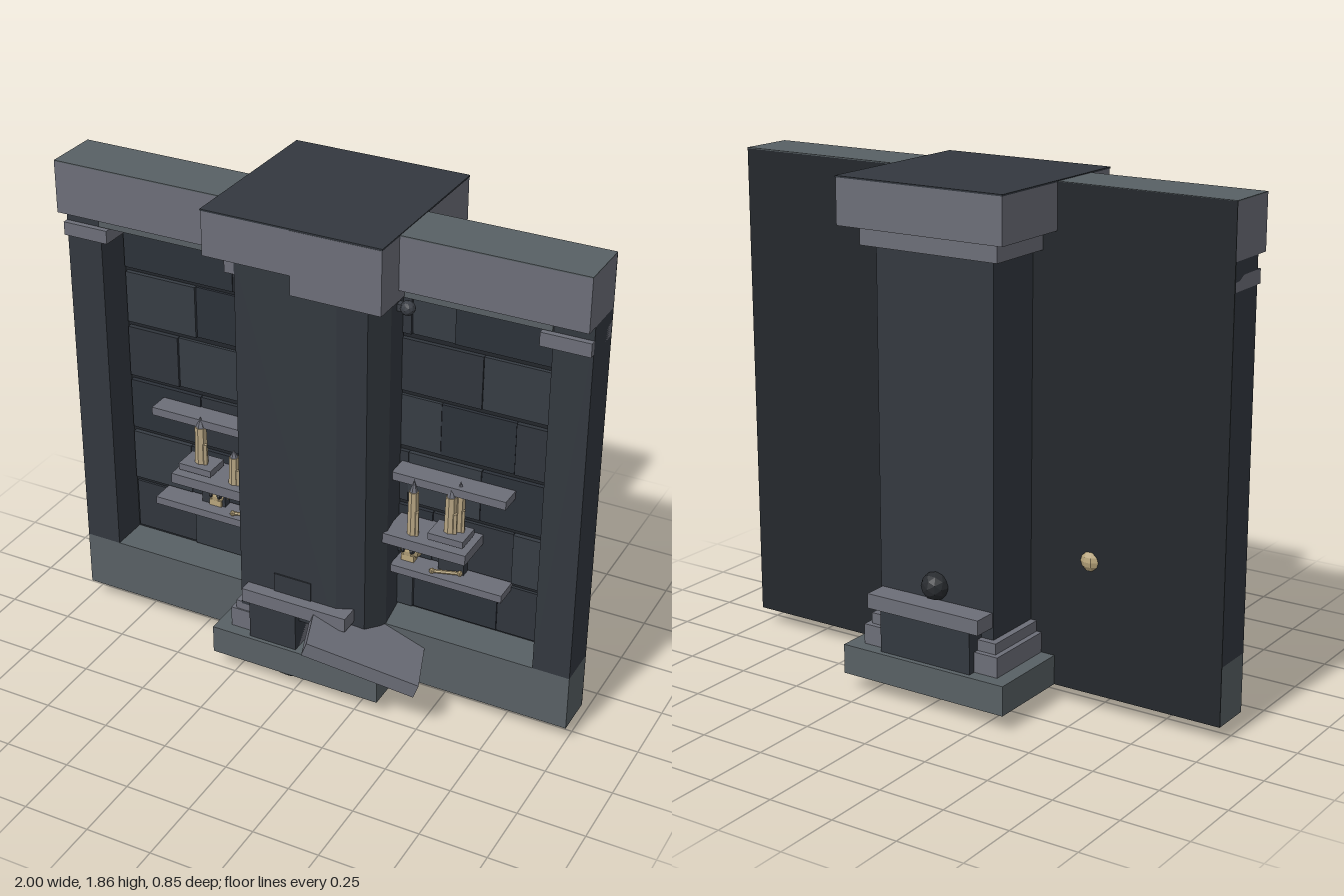
import * as THREE from 'three';

const mat = (color) => new THREE.MeshStandardMaterial({ color, flatShading: true });
const STONE = mat(0x6c6e78), BASE = mat(0x586064), DARK = mat(0x33383f), BACK = mat(0x24282c);
const MORTAR = mat(0x22262b), WAX = mat(0xb8a684), BONE = mat(0xb8a57c), RUBBLE = mat(0x282b2f);
const METAL = mat(0x3b3f46), PURPLE = mat(0x4b3566);
const BRICKS = [mat(0x30353c), mat(0x363c43), mat(0x2c3139)];

let seed = 7;
const rand = () => (seed = (seed * 16807) % 2147483647) / 2147483647;

export function createModel() {
  const model = new THREE.Group();

  const add = (name, geometry, material, x = 0, y = 0, z = 0, parent = model) => {
    const mesh = new THREE.Mesh(geometry, material);
    mesh.name = name;
    mesh.position.set(x, y, z);
    parent.add(mesh);
    return mesh;
  };
  // Box given by its minimum and maximum on each axis
  const box = (name, material, x0, x1, y0, y1, z0, z1, parent = model) =>
    add(name, new THREE.BoxGeometry(x1 - x0, y1 - y0, z1 - z0), material,
      (x0 + x1) / 2, (y0 + y1) / 2, (z0 + z1) / 2, parent);

  // Wall frame
  box('backPanel', BACK, -1, 1, 0.06, 1.855, -0.087, -0.08);
  box('wallBase', BASE, -1, 1, 0.06, 0.278, -0.083, 0.07);
  box('cornice', STONE, -1, 1, 1.66, 1.853, -0.084, 0.125);
  box('corniceTop', BASE, -1, 1, 1.853, 1.857, -0.087, 0.125);
  box('corniceTrim', BASE, -0.86, 0.86, 1.615, 1.66, -0.08, 0.08);
  for (const s of [-1, 1]) {
    const pillar = box('wallPillar', DARK, -0.07, 0.07, 0.278, 1.66, -0.083, 0.07);
    pillar.position.x = s * 0.93;
    const cap = box('pillarCap', STONE, -0.089, 0.089, 1.56, 1.61, -0.08, 0.092);
    cap.position.x = s * 0.911;
  }

  // Stone courses with joints, between the pillars
  const wall = new THREE.Group();
  wall.name = 'brickWall';
  model.add(wall);
  box('mortar', MORTAR, -0.86, 0.86, 0.278, 1.62, -0.081, -0.077, wall);
  const joints = [[-0.59, 0.33, 0.66], [-0.6, 0.4, 0.71], [-0.55, 0.3, 0.58],
    [-0.64, 0.42, 0.7], [-0.56, -0.27, 0.57], [-0.4, 0.3, 0.46]];
  joints.forEach((row, i) => {
    const y = 0.29 + i * 0.223;
    const ends = [-0.852, ...row, 0.852];
    for (let k = 0; k + 1 < ends.length; k++)
      box('brick', BRICKS[(k + i) % 3], ends[k] + 0.001, ends[k + 1] - 0.001,
        y, y + (i === 5 ? 0.19 : 0.202), -0.08, -0.068 + rand() * 0.012, wall);
  });

  // Central column: faceted front corner, square back
  const plan = [[-0.24, 0.203], [0.15, 0.205], [0.245, 0.165], [0.285, 0.07],
    [0.265, -0.07], [0.24, -0.085], [0.24, -0.325], [-0.24, -0.325]];
  const shape = new THREE.Shape(plan.map(([x, z]) => new THREE.Vector2(x, -z)));
  const shaft = new THREE.ExtrudeGeometry(shape, { depth: 1.41, bevelEnabled: false });
  shaft.rotateX(-Math.PI / 2);
  add('columnShaft', shaft, DARK, 0, 0.28, 0);
  box('columnSeam', PURPLE, -0.246, -0.24, 0.5, 1.6, -0.07, 0.1);

  // Capital
  box('capital', STONE, -0.335, 0.335, 1.69, 1.854, -0.42, 0.25);
  box('capitalTop', DARK, -0.337, 0.337, 1.854, 1.86, -0.422, 0.252);
  box('capitalFrontBlock', STONE, 0, 0.336, 1.62, 1.854, 0.06, 0.253);
  box('capitalTier', STONE, -0.28, 0.28, 1.62, 1.69, -0.365, 0.2);

  // Plinth, its tiers and the small monuments at its front and back
  box('plinth', BASE, -0.34, 0.34, 0.06, 0.17, -0.42, 0.25);
  box('plinthBackTier', STONE, -0.285, 0.285, 0.17, 0.245, -0.37, -0.08);
  box('plinthBackUpperTier', STONE, -0.265, 0.265, 0.245, 0.285, -0.35, -0.08);
  box('plinthFrontTier', STONE, -0.285, 0, 0.17, 0.25, 0, 0.205);
  box('plinthFrontUpperTier', STONE, -0.265, 0, 0.25, 0.285, 0, 0.2);
  box('frontBlock', DARK, -0.19, 0, 0.17, 0.33, 0.1, 0.235);
  box('frontLedge', STONE, -0.21, 0.21, 0.33, 0.385, 0.1, 0.252);
  box('frontPlaque', DARK, -0.1, 0.05, 0.385, 0.46, 0.15, 0.209);
  box('backBlock', DARK, -0.19, 0.19, 0.17, 0.33, -0.4, -0.3);
  box('backLedge', STONE, -0.235, 0.235, 0.33, 0.385, -0.415, -0.3);
  add('stoneBall', new THREE.IcosahedronGeometry(0.052, 1), RUBBLE, 0, 0.437, -0.33);

  // Fallen slab leaning on the plinth
  const slab = add('fallenSlab', new THREE.BoxGeometry(0.425, 0.055, 0.69), STONE, 0.205, 0.267, 0.03);
  slab.rotation.set(0, 0.35, -0.35, 'YZX');

  // Rubble beneath the plinth
  const rubble = new THREE.Group();
  rubble.name = 'rubble';
  model.add(rubble);
  for (let i = 0; i < 44; i++) {
    const r = 0.025 + rand() * 0.03;
    const rock = add('rock', new THREE.DodecahedronGeometry(r), RUBBLE,
      -0.14 + rand() * 0.36, 0.056, 0.21 - rand() * 0.54, rubble);
    rock.scale.y = 0.45;
    rock.rotation.y = rand() * 6;
  }
  const chunk = add('brokenChunk', new THREE.BoxGeometry(0.2, 0.04, 0.22), RUBBLE, -0.09, 0.037, -0.2, rubble);
  chunk.rotation.set(0.12, 0, -0.06);

  // Shelves and brackets, mirrored on both sides
  for (const s of [-1, 1]) {
    const shelves = new THREE.Group();
    shelves.name = s < 0 ? 'rightShelves' : 'leftShelves';
    model.add(shelves);
    const inner = s < 0 ? 0.235 : 0.275;
    const span = (name, material, a, b, ...rest) =>
      box(name, material, Math.min(s * a, s * b), Math.max(s * a, s * b), ...rest, shelves);
    span('lowerShelf', STONE, inner, 0.71, 0.478, 0.508, -0.08, 0.025);
    span('middleShelf', STONE, inner, 0.595, 0.64, 0.68, -0.08, 0.092);
    span('upperShelf', STONE, inner, 0.71, 0.865, 0.897, -0.08, 0.025);
    span('shelfBracket', DARK, 0.44, 0.54, 0.508, 0.64, -0.08, -0.03);
    span('candleStand', STONE, 0.44, 0.575, 0.692, 0.718, -0.03, 0.07);
    span('standFoot', STONE, 0.47, 0.545, 0.68, 0.692, -0.01, 0.05);

    // Wall sconce
    span('sconceArm', METAL, 0.23, 0.31, 1.52, 1.545, -0.02, 0.01);
    add('sconceKnob', new THREE.IcosahedronGeometry(0.027, 1), METAL, s * 0.31, 1.532, -0.005, shelves);
  }

  // Candles with a wax drip and a pointed tip
  const candle = (x, y, z, h, r) => {
    const g = new THREE.Group();
    g.name = 'candle';
    g.position.set(x, y, z);
    model.add(g);
    add('wax', new THREE.CylinderGeometry(r * 0.85, r, h * 0.78, 7), WAX, 0, h * 0.39, 0, g);
    add('drip', new THREE.CylinderGeometry(r * 0.4, r * 0.4, h * 0.45, 5), WAX, r * 0.8, h * 0.22, r * 0.4, g);
    add('tip', new THREE.ConeGeometry(r * 0.7, h * 0.22, 6), STONE, 0, h * 0.89, 0, g);
  };
  [[-0.505, 0.718, 0.02, 0.19, 0.026], [-0.355, 0.68, 0.04, 0.14, 0.022], [-0.25, 0.68, 0, 0.14, 0.018],
    [0.37, 0.68, 0.04, 0.22, 0.022], [0.505, 0.718, 0.02, 0.18, 0.024],
    [0.53, 0.718, 0, 0.2, 0.02]].forEach((c) => candle(...c));

  // Skulls and loose bones on the lower shelves
  const skull = (x) => {
    const g = new THREE.Group();
    g.name = 'skull';
    g.position.set(x, 0.508, -0.06);
    model.add(g);
    add('cranium', new THREE.SphereGeometry(0.045, 10, 8), BONE, 0, 0.042, 0, g);
    add('jaw', new THREE.BoxGeometry(0.05, 0.025, 0.03), BONE, 0, 0.013, 0.024, g);
    for (const s of [-1, 1])
      add('eyeSocket', new THREE.SphereGeometry(0.012, 6, 5), RUBBLE, s * 0.017, 0.046, 0.036, g);
  };
  skull(-0.478);
  skull(0.322);
  for (const x of [-0.34, 0.48]) {
    const bone = new THREE.Group();
    bone.name = 'bone';
    bone.position.set(x, 0.517, -0.01);
    bone.rotation.y = 0.3;
    model.add(bone);
    const rod = add('boneShaft', new THREE.CylinderGeometry(0.007, 0.007, 0.1, 6), BONE, 0, 0, 0, bone);
    rod.rotation.z = Math.PI / 2;
    for (const s of [-1, 1])
      add('boneEnd', new THREE.IcosahedronGeometry(0.012, 0), BONE, s * 0.05, 0, 0, bone);
  }

  return model;
}
